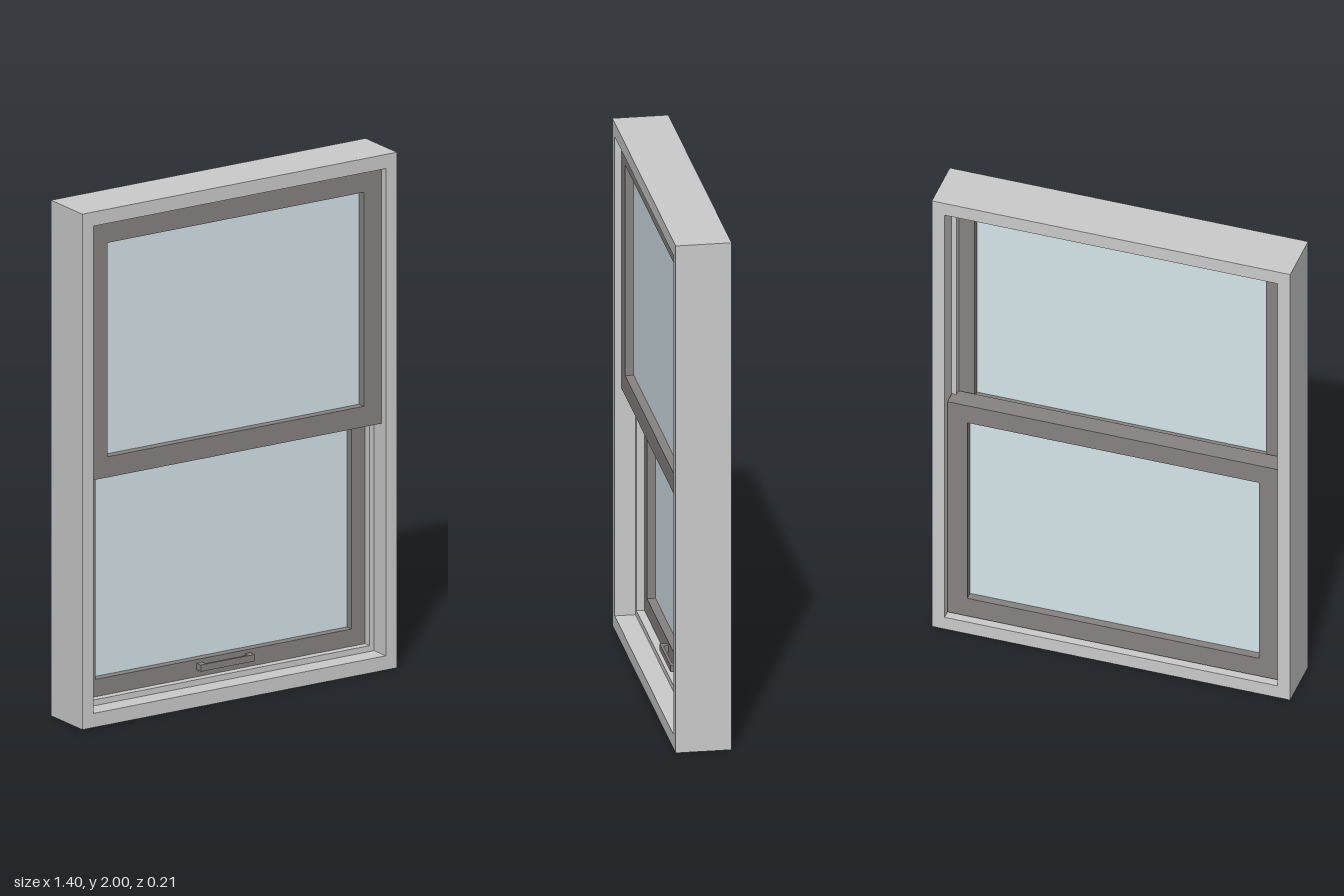
import * as THREE from 'three';

const frameMat = new THREE.MeshStandardMaterial({ color: 0xcccccc });
const sashMat = new THREE.MeshStandardMaterial({ color: 0x888383 });
const glassMat = new THREE.MeshStandardMaterial({ color: 0xd6e5ea });

const rect = (path, w, y0, y1) => {
  path.moveTo(-w, y0);
  path.lineTo(w, y0);
  path.lineTo(w, y1);
  path.lineTo(-w, y1);
  path.closePath();
  return path;
};

// Rectangular ring: outer and inner are [halfWidth, bottom, top]
function ring(name, outer, inner, z0, z1, material) {
  const shape = rect(new THREE.Shape(), ...outer);
  shape.holes.push(rect(new THREE.Path(), ...inner));
  const geo = new THREE.ExtrudeGeometry(shape, { depth: z1 - z0, bevelEnabled: false });
  geo.translate(0, 0, z0);
  const mesh = new THREE.Mesh(geo, material);
  mesh.name = name;
  return mesh;
}

function box(name, w, h, d, x, y, z, material) {
  const mesh = new THREE.Mesh(new THREE.BoxGeometry(w, h, d), material);
  mesh.position.set(x, y, z);
  mesh.name = name;
  return mesh;
}

// Sash: four rails around a pane
function sash(name, outer, inner, z0, z1) {
  const group = new THREE.Group();
  group.name = name;
  const [w, y0, y1] = inner;
  group.add(
    ring(name + 'Rails', outer, inner, z0, z1, sashMat),
    box(name + 'Glass', 2 * w + 0.01, y1 - y0 + 0.01, 0.012, 0, (y0 + y1) / 2, (z0 + z1) / 2, glassMat)
  );
  return group;
}

export function createModel() {
  const model = new THREE.Group();
  model.name = 'doubleHungWindow';

  // Outer frame with the stop that separates the two sash tracks
  model.add(
    ring('outerFrame', [0.7, 0, 2], [0.65, 0.055, 1.945], -0.105, 0.105, frameMat),
    ring('partingStop', [0.66, 0.045, 1.955], [0.63, 0.078, 1.922], -0.027, 0.027, frameMat)
  );

  // Upper sash in the front track, lower sash in the back track
  model.add(
    sash('upperSash', [0.648, 0.95, 1.938], [0.57, 1.03, 1.86], 0.003, 0.079),
    sash('lowerSash', [0.648, 0.062, 1.05], [0.57, 0.145, 0.97], -0.079, -0.003)
  );

  // Pull handle on the bottom rail
  const handle = new THREE.Group();
  handle.name = 'pullHandle';
  handle.add(box('handleGrip', 0.24, 0.026, 0.01, 0, 0.118, 0.021, sashMat));
  for (const s of [-1, 1]) {
    handle.add(box('handlePost', 0.025, 0.026, 0.022, s * 0.1075, 0.118, 0.006, sashMat));
  }
  model.add(handle);

  return model;
}
